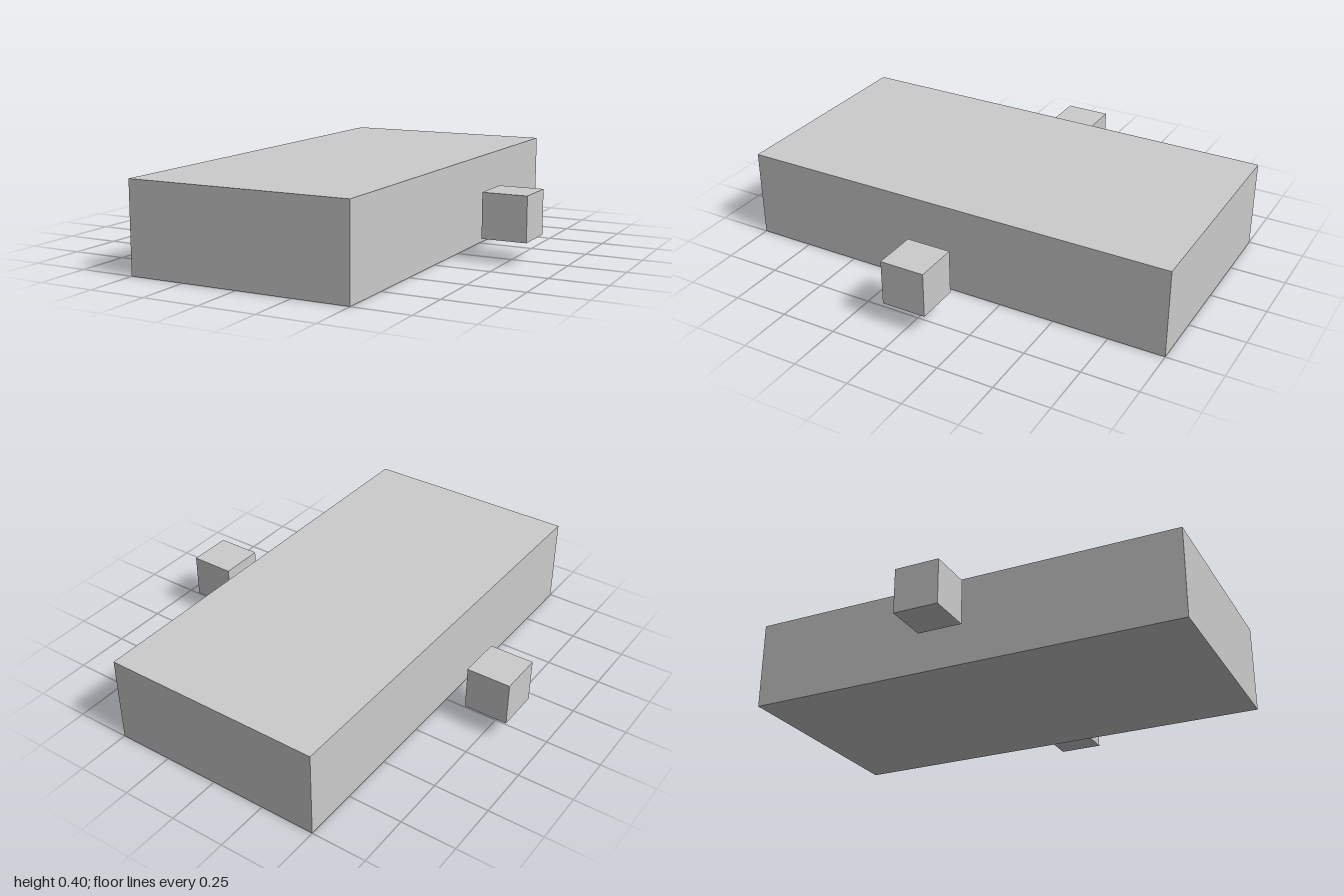
import * as THREE from 'three';

export function createModel() {
  const model = new THREE.Group();
  const material = new THREE.MeshStandardMaterial({ color: 0xcccccc, flatShading: true });

  const addBox = (name, [w, h, d], [x, y, z]) => {
    const mesh = new THREE.Mesh(new THREE.BoxGeometry(w, h, d), material);
    mesh.name = name;
    mesh.position.set(x, y, z);
    model.add(mesh);
  };

  // Long central slab
  addBox('body', [1, 0.4, 2], [0, 0.2, 0]);

  // Detached cubes on either side, level with the middle of the body
  for (const [name, side] of [['leftCube', 1], ['rightCube', -1]]) {
    addBox(name, [0.2, 0.2, 0.2], [side * 0.75, 0.2, 0]);
  }

  return model;
}
